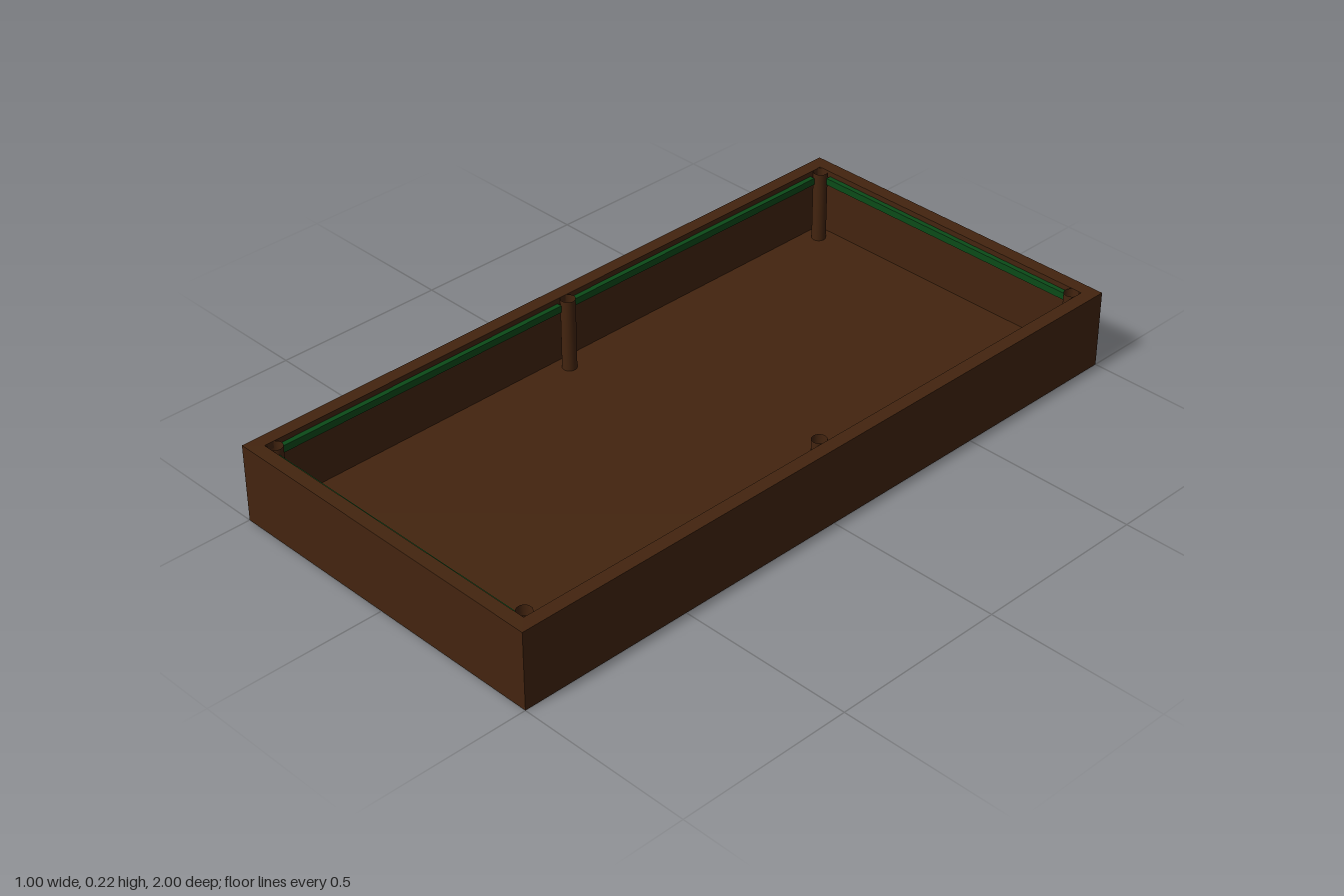
import * as THREE from 'three';

const brown = new THREE.MeshStandardMaterial({ color: 0x43240f });
brown.name = 'dark brown';
brown.side = THREE.DoubleSide;
const green = new THREE.MeshStandardMaterial({ color: 0x0b4a18 });
green.name = 'dark green';

const HX = 0.5, HZ = 1, TOP = 0.22;
const FLOOR = 0.01, WALL = 0.012, LIP = 0.038, LIP_Y = 0.2;
const POST_R = 0.02, POST_X = 0.444, POST_Z = 0.944;

function rect(path, hx, hz) {
  path.moveTo(-hx, -hz);
  path.lineTo(hx, -hz);
  path.lineTo(hx, hz);
  path.lineTo(-hx, hz);
  path.closePath();
  return path;
}

// Flat slab with the tray outline, cut by the given holes
function slab(name, holes, y0, y1) {
  const shape = rect(new THREE.Shape(), HX, HZ);
  shape.holes.push(...holes);
  const geo = new THREE.ExtrudeGeometry(shape, { depth: y1 - y0, bevelEnabled: false, curveSegments: 12 });
  geo.rotateX(-Math.PI / 2).translate(0, y0, 0);
  const mesh = new THREE.Mesh(geo, brown);
  mesh.name = name;
  return mesh;
}

export function createModel() {
  const tray = new THREE.Group();
  tray.name = 'tray';

  const posts = [];
  for (const x of [-POST_X, POST_X]) for (const z of [-POST_Z, 0, POST_Z]) posts.push([x, z]);

  // Floor with a through hole under each post
  const holes = posts.map(([x, z]) => new THREE.Path().absarc(x, z, POST_R, 0, Math.PI * 2, false));
  tray.add(slab('floor', holes, 0, FLOOR));

  // Thin walls and the wider lip around the top
  tray.add(slab('walls', [rect(new THREE.Path(), HX - WALL, HZ - WALL)], FLOOR, LIP_Y));
  tray.add(slab('lip', [rect(new THREE.Path(), HX - LIP, HZ - LIP)], LIP_Y, TOP));

  // Hollow posts, open at both ends
  const tube = new THREE.CylinderGeometry(POST_R, POST_R, TOP, 24, 1, true);
  for (const [x, z] of posts) {
    const post = new THREE.Mesh(tube, brown);
    post.name = 'post';
    post.position.set(x, TOP / 2, z);
    tray.add(post);
  }

  // Green strip under the lip, interrupted by the posts
  const strip = (w, d, x, z) => {
    const mesh = new THREE.Mesh(new THREE.BoxGeometry(w, 0.02, d), green);
    mesh.name = 'strip';
    mesh.position.set(x, 0.195, z);
    tray.add(mesh);
  };
  const thick = 0.015, gap = POST_R;
  for (const s of [-1, 1]) {
    strip(2 * (POST_X - gap), thick, 0, s * 0.955);
    for (const t of [-1, 1]) strip(thick, POST_Z - 2 * gap, s * 0.455, t * POST_Z / 2);
  }
  return tray;
}
